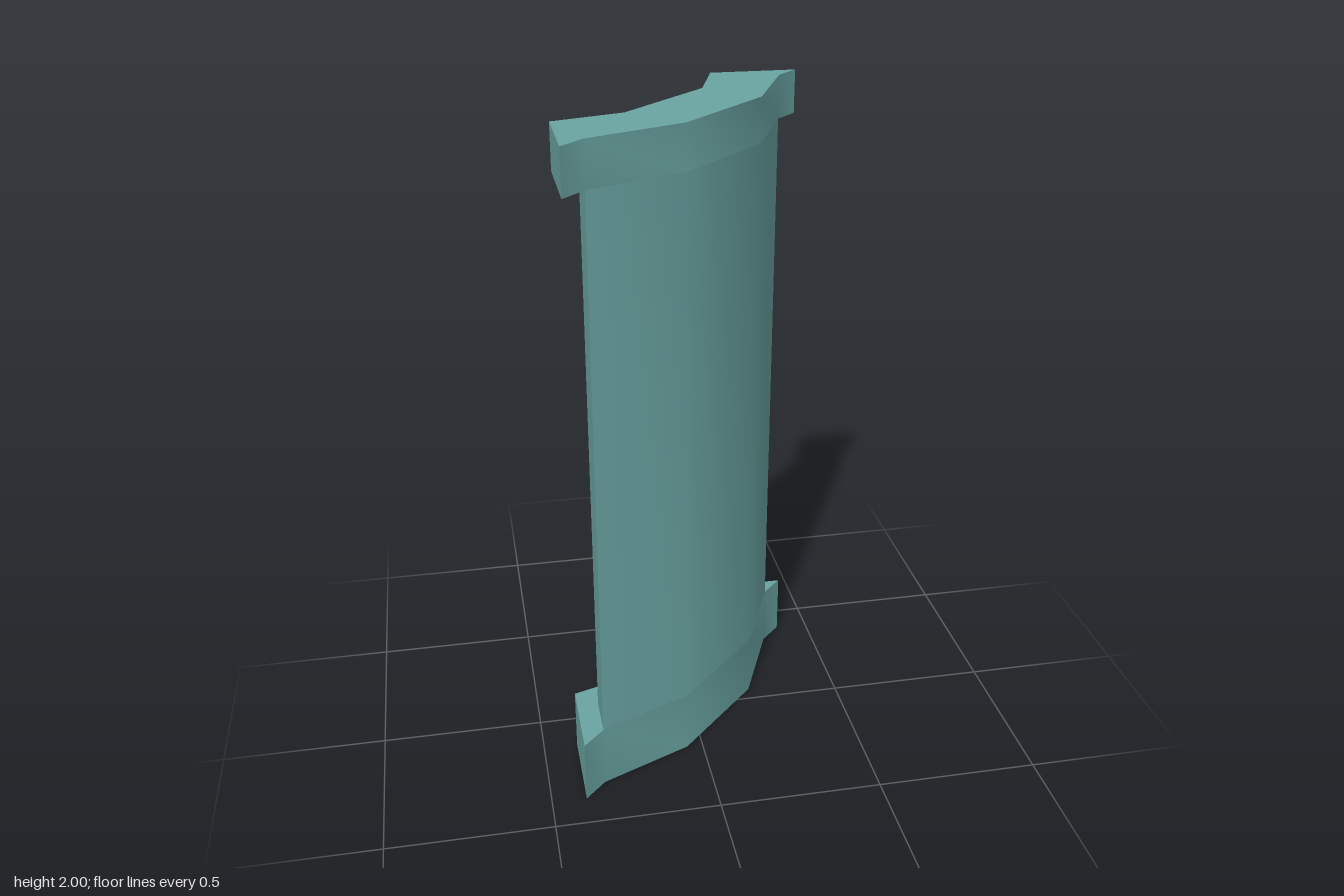
import * as THREE from 'three';
import { toCreasedNormals } from 'three/addons/utils/BufferGeometryUtils.js';

// Half of a plan outline as [x, z]; the other half mirrors across the diagonal x = z.
const capHalf = [[0.07, -0.19], [0.135, -0.395], [0.395, -0.395], [0.33, -0.33], [0.21, -0.05]];
const wallHalf = [[0.14, -0.15], [0.2, -0.33], [0.33, -0.33], [0.21, -0.05]];

// Upright prism over a mirrored plan, with smooth shading across the gentle bends
function prism(name, half, y0, y1, material) {
  const plan = [...half, ...half.map(([x, z]) => [z, x]).reverse()];
  const shape = new THREE.Shape(plan.map(([x, z]) => new THREE.Vector2(x, -z)));
  const geo = new THREE.ExtrudeGeometry(shape, { depth: y1 - y0, bevelEnabled: false });
  geo.rotateX(-Math.PI / 2).translate(0, y0, 0);
  const mesh = new THREE.Mesh(toCreasedNormals(geo, THREE.MathUtils.degToRad(35)), material);
  mesh.name = name;
  return mesh;
}

export function createModel() {
  const model = new THREE.Group();
  model.name = 'curvedWallSegment';
  const teal = new THREE.MeshStandardMaterial({ color: 0x6aa5a3 });
  teal.name = 'teal';

  model.add(
    prism('base', capHalf, 0, 0.2, teal),
    prism('curvedPanel', wallHalf, 0.2, 1.87, teal),
    prism('topCap', capHalf, 1.87, 2, teal),
  );
  return model;
}
